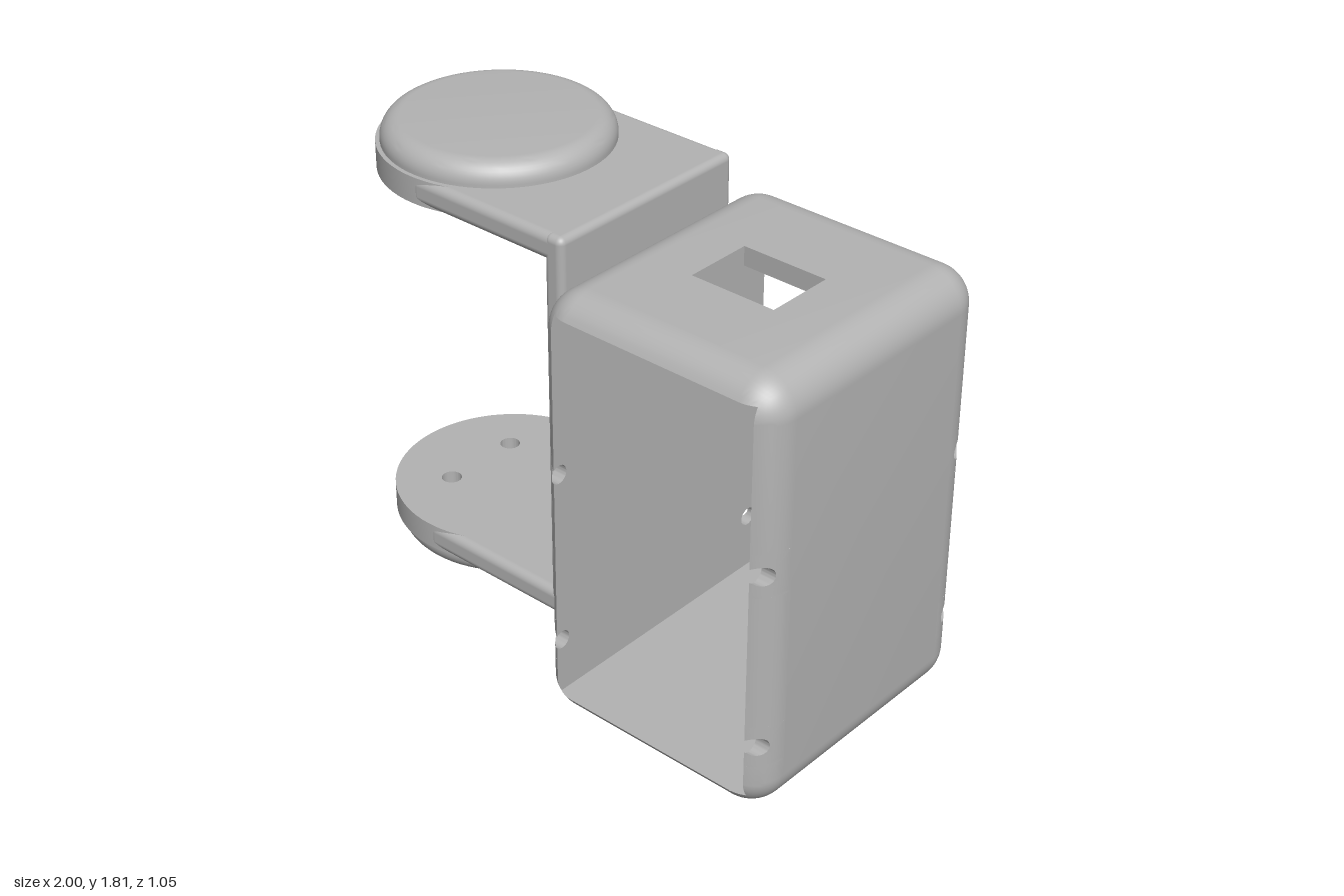
import * as THREE from 'three';
import { mergeGeometries, toCreasedNormals } from 'three/addons/utils/BufferGeometryUtils.js';
import { RoundedBoxGeometry } from 'three/addons/geometries/RoundedBoxGeometry.js';

const R = 0.13, T = 0.07, C = R - T;           // edge radius, wall thickness, tunnel offset from fillet centre
const KX = 0.4725 - R, KY = 0.8 - R;           // fillet centres of the housing
const ZC = 0.408, ZR = ZC + Math.sqrt(R * R - C * C);
const N = 8, TAU = Math.PI * 2;

// Grid surface whose front faces along du x dv
function grid(fn, nu, nv, flip = false) {
  const pos = [];
  for (let i = 0; i < nu; i++) for (let j = 0; j < nv; j++) {
    const a = fn(i, j), b = fn(i + 1, j), c = fn(i + 1, j + 1), d = fn(i, j + 1);
    for (const p of flip ? [a, c, b, a, d, c] : [a, b, c, a, c, d]) pos.push(...p);
  }
  const g = new THREE.BufferGeometry();
  g.setAttribute('position', new THREE.Float32BufferAttribute(pos, 3));
  return g;
}

// One housing wall: s runs along it, d is the offset outward from the fillet centre
function wall(angle, k, L, holes, win) {
  const out = [], ca = Math.cos(angle), sa = Math.sin(angle);
  const at = (s, d, z) => [ca * (k + d) - sa * s, sa * (k + d) + ca * s, z];
  const outer = (z) => Math.sqrt(R * R - Math.max(0, Math.min(Math.abs(z), ZR) - ZC) ** 2);
  const patch = (fn, nu, nv) => {              // outer and inner skin
    out.push(grid((i, j) => { const [s, z] = fn(i, j); return at(s, outer(z), z); }, nu, nv));
    out.push(grid((i, j) => { const [s, z] = fn(i, j); return at(s, C, z); }, nu, nv, true));
  };
  const rect = (s0, s1, z0, z1) => patch((i, j) => [i ? s1 : s0, j ? z1 : z0], 1, 1);
  const liner = (pts) => out.push(grid((i, j) => {
    const [s, z] = pts[i % pts.length];
    return at(s, j ? outer(z) : C, z);
  }, pts.length, 1, true));

  // flat middle, with optional window
  if (win) {
    const [s0, s1, z0, z1] = win;
    rect(-L, s0, -ZC, ZC); rect(s1, L, -ZC, ZC);
    rect(s0, s1, -ZC, z0); rect(s0, s1, z1, ZC);
    liner([[s0, z0], [s1, z0], [s1, z1], [s0, z1]]);
  } else rect(-L, L, -ZC, ZC);

  // rounded rims at both open ends, with screw holes
  const phi = Math.acos(C / R), hw = 0.08, hr = 0.034;
  for (const e of [-1, 1]) {
    const strip = (s0, s1) => patch((i, j) => {
      const q = e > 0 ? j : N - j;
      return [i ? s1 : s0, e * (ZC + R * Math.sin(phi * q / N))];
    }, 1, N);
    let s = -L;
    for (const h of holes) {
      strip(s, h - hw);
      s = h + hw;
      const hz = e > 0 ? 0.499 : -0.47;
      const lo = (e > 0 ? ZC : -ZR) - hz, hi = (e > 0 ? ZR : -ZC) - hz;
      const angles = [];
      for (let i = 0; i < 40; i++) angles.push(i / 40 * TAU);
      const add = (x, z) => angles.push((Math.atan2(z, x) + TAU) % TAU);
      for (const x of [-hw, hw]) { add(x, lo); add(x, hi); }
      if (hi < hr) for (const x of [-1, 1]) add(x * Math.sqrt(hr * hr - hi * hi), hi);
      angles.sort((a, b) => a - b);
      const reach = (t) => {
        const c = Math.cos(t), q = Math.sin(t);
        return Math.min(hw / Math.max(Math.abs(c), 1e-9), (q > 0 ? hi : -lo) / Math.max(Math.abs(q), 1e-9));
      };
      const point = (t, v) => {
        const far = reach(t), near = Math.min(hr, far), d = near + (far - near) * v;
        return [h + d * Math.cos(t), hz + d * Math.sin(t)];
      };
      patch((i, j) => point(angles[j % angles.length], i / 5), 5, angles.length);
      liner(angles.map((t) => point(t, 0)));
    }
    strip(s, L);
    // inner skin running on into the tunnel corners
    out.push(grid((i, j) => {
      const w = C * (e > 0 ? i : 6 - i) / 6;
      const z = ZC + Math.sqrt(R * R - C * C - w * w);
      return at(e * (L + w), C, j ? z : -z);
    }, 6, 1, true));
  }
  return out;
}

// Rounded vertical corner of the housing, trimmed by the tunnel
function corner(angle, cx, cy) {
  const M = 16;
  return grid((i, j) => {
    const t = i / M * Math.PI / 2;
    const pm = Math.acos(C / (R * Math.max(Math.cos(t), Math.sin(t))));
    const p = j <= N ? -pm * (1 - j / N) : pm * (j - N - 1) / N;
    const rho = R * Math.cos(p);
    return [cx + rho * Math.cos(angle + t), cy + rho * Math.sin(angle + t), (j <= N ? -ZC : ZC) + R * Math.sin(p)];
  }, M, 2 * N + 1);
}

function housingGeometry() {
  const q = Math.PI / 2;
  return toCreasedNormals(mergeGeometries([
    ...wall(0, KX, KY, [-0.52, 0.138], null),
    ...wall(q, KY, KX, [], [-0.1575, 0.1675, -0.12, 0.135]),
    ...wall(2 * q, KX, KY, [-0.138, 0.52], null),
    ...wall(3 * q, KY, KX, [], null),
    corner(0, KX, KY), corner(q, -KX, KY), corner(2 * q, -KX, -KY), corner(3 * q, KX, -KY),
  ]), 0.6);
}

export function createModel() {
  const model = new THREE.Group();
  model.name = 'servoBracket';
  const grey = new THREE.MeshStandardMaterial({ color: 0xb3b3b3 });
  grey.name = 'grey';
  const mesh = (name, geo, parent, x = 0, y = 0, z = 0) => {
    const m = new THREE.Mesh(geo, grey);
    m.name = name;
    m.position.set(x, y, z);
    parent.add(m);
    return m;
  };

  // open box housing
  mesh('housing', housingGeometry(), model, 0.5275, 0.8, 0);

  // C-shaped bracket
  const bracket = new THREE.Group();
  bracket.name = 'bracket';
  bracket.position.set(0, 1.0075, 0.007);
  model.add(bracket);
  const top = 0.7225, thick = 0.095, discX = -0.59;
  mesh('backPlate', new RoundedBoxGeometry(0.077, top * 2, 0.82, 4, 0.025), bracket, 0.0335, 0, 0);

  // disc with two blind screw holes
  const shape = new THREE.Shape().absarc(0, 0, 0.41, 0, TAU);
  for (const s of [-1, 1]) shape.holes.push(new THREE.Path().absarc(-0.145, s * 0.15, 0.036, 0, TAU, true));
  const disc = toCreasedNormals(new THREE.ExtrudeGeometry(shape, { depth: thick, bevelEnabled: false, curveSegments: 40 })
    .rotateX(-Math.PI / 2), 0.6);

  // rounded cap profile
  const profile = [new THREE.Vector2(0, 0), new THREE.Vector2(0.395, 0)];
  for (let i = 0; i <= 10; i++) {
    const a = i / 10 * Math.PI / 2;
    profile.push(new THREE.Vector2(0.325 + 0.07 * Math.cos(a), 0.01 + 0.07 * Math.sin(a)));
  }
  profile.push(new THREE.Vector2(0, 0.08));
  const cap = toCreasedNormals(new THREE.LatheGeometry(profile, 72), 0.6);
  const arm = new RoundedBoxGeometry(0.662, thick, 0.82, 4, 0.03);

  // the lower arm is the upper one turned over
  for (const side of ['upper', 'lower']) {
    const g = new THREE.Group();
    g.name = side + 'Arm';
    if (side === 'lower') g.rotation.x = Math.PI;
    mesh(side + 'ArmPlate', arm, g, -0.259, top - thick / 2, 0);
    mesh(side + 'Disc', disc, g, discX, top - thick, 0);
    mesh(side + 'Cap', cap, g, discX, top, 0);
    bracket.add(g);
  }
  return model;
}
